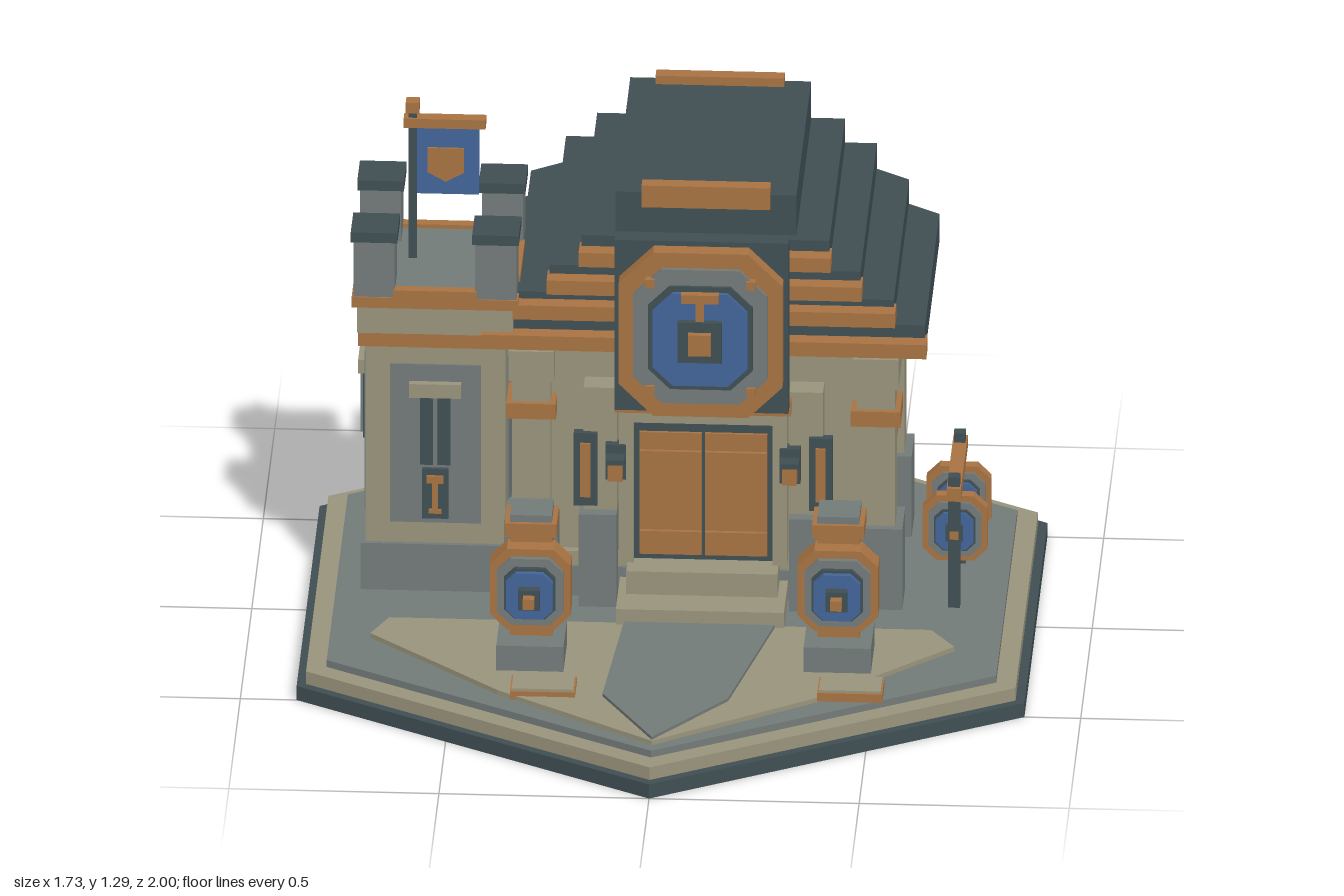
import * as THREE from 'three';

const mat = (name, color) => Object.assign(new THREE.MeshStandardMaterial({ color, flatShading: true }), { name });

export function createModel() {
  const root = new THREE.Group();
  root.name = 'guildHall';
  const stone = mat('greyStone', 0x737b79), tan = mat('sandstone', 0x99947c);
  const slate = mat('darkSlate', 0x3f4e53), gold = mat('bronze', 0xa87343), blue = mat('blueCloth', 0x43659a);

  const add = (name, geo, m, parent = root) => {
    const mesh = new THREE.Mesh(geo, m);
    mesh.name = name;
    parent.add(mesh);
    return mesh;
  };
  // Box given by its low and high limits on each axis
  const box = (name, m, x0, x1, y0, y1, z0, z1, parent = root) => {
    const b = add(name, new THREE.BoxGeometry(x1 - x0, y1 - y0, z1 - z0), m, parent);
    b.position.set((x0 + x1) / 2, (y0 + y1) / 2, (z0 + z1) / 2);
    return b;
  };
  // Upright slab from a plan outline of [x, z] points
  const slab = (name, m, pts, y0, y1, parent = root) => {
    const shape = new THREE.Shape(pts.map(([x, z]) => new THREE.Vector2(x, -z)));
    const geo = new THREE.ExtrudeGeometry(shape, { depth: y1 - y0, bevelEnabled: false });
    return add(name, geo.rotateX(-Math.PI / 2).translate(0, y0, 0), m, parent);
  };
  // Octagonal plate facing +z
  const plate = (name, m, hx, hy, z0, z1, parent) => {
    const c = hx * 0.42;
    const pts = [[hx, hy - c], [hx - c, hy], [c - hx, hy], [-hx, hy - c], [-hx, c - hy], [c - hx, -hy], [hx - c, -hy], [hx, c - hy]];
    const shape = new THREE.Shape(pts.map(p => new THREE.Vector2(...p)));
    const geo = new THREE.ExtrudeGeometry(shape, { depth: z1 - z0, bevelEnabled: false });
    return add(name, geo.translate(0, 0, z0), m, parent);
  };
  // Layered shield, s = half width, t = total depth
  const shield = (name, x, y, z, s, t) => {
    const g = new THREE.Group();
    g.name = name;
    g.position.set(x, y, z);
    root.add(g);
    plate('rim', gold, s, s * 1.1, 0, t * 0.4, g);
    plate('field', stone, s * 0.82, s * 0.9, 0, t * 0.5, g);
    plate('fieldBorder', slate, s * 0.64, s * 0.69, 0, t * 0.58, g);
    plate('blueCentre', blue, s * 0.58, s * 0.62, 0, t * 0.68, g);
    box('bossBack', slate, -s * 0.27, s * 0.27, -s * 0.27, s * 0.27, 0, t * 0.84, g);
    box('boss', gold, -s * 0.14, s * 0.14, -s * 0.14, s * 0.14, 0, t, g);
    return g;
  };

  // Hexagonal stepped base
  const hex = r => Array.from({ length: 6 }, (_, i) => [r * Math.sin(i * Math.PI / 3), r * Math.cos(i * Math.PI / 3)]);
  slab('baseBottom', slate, hex(1), 0, 0.037);
  slab('baseMiddle', tan, hex(0.975), 0.037, 0.07);
  slab('baseTop', stone, hex(0.92), 0.07, 0.088);
  slab('forecourt', tan, [[-0.66, 0.24], [-0.7, 0.33], [-0.38, 0.63], [0, 0.89], [0.38, 0.63], [0.69, 0.33], [0.63, 0.24]], 0.08, 0.1);
  slab('path', stone, [[-0.1, 0.24], [-0.13, 0.65], [0, 0.885], [0.17, 0.66], [0.26, 0.24]], 0.08, 0.108);

  // Hall with angled back corners
  const C = 0.08;
  const hall = g => [[C - 0.41 - g, 0.04 + g], [C + 0.41 + g, 0.04 + g], [C + 0.41 + g, -0.36 - g * 0.4],
    [C + 0.14 + g * 0.4, -0.66 - g], [C - 0.14 - g * 0.4, -0.66 - g], [C - 0.41 - g, -0.36 - g * 0.4]];
  slab('hallWalls', tan, hall(0), 0.088, 0.75);
  slab('hallPlinth', stone, hall(0.03), 0.088, 0.165);
  slab('plinthCap', tan, hall(0.02), 0.165, 0.2);
  for (const s of [-1, 1]) {
    const panel = add('angledWallPanel', new THREE.BoxGeometry(0.34, 0.46, 0.02), stone);
    panel.position.set(C + s * 0.275, 0.43, -0.51);
    panel.rotation.y = Math.atan2(s * 0.743, -0.669);
    for (const [x, z] of [[0.41, 0.045], [0.41, -0.36], [0.14, -0.655]]) {
      const px = C + s * x;
      const col = (n, m, h, y0, y1) => box(n, m, px - h, px + h, y0, y1, z - h, z + h);
      col('columnBase', stone, 0.064, 0.088, 0.3);
      col('column', tan, 0.046, 0.3, 0.68);
      col('columnBand', gold, 0.059, 0.565, 0.605);
      col('columnHead', tan, 0.054, 0.66, 0.74);
    }
  }

  // Barred windows on the side and back
  const window = (x, z, turn) => {
    const g = new THREE.Group();
    g.name = 'barredWindow';
    g.position.set(x, 0, z);
    g.rotation.y = turn;
    root.add(g);
    box('windowFrame', stone, -0.06, 0.06, 0.37, 0.55, 0, 0.02, g);
    box('windowPane', slate, -0.045, 0.045, 0.39, 0.54, 0, 0.026, g);
    for (const b of [-0.026, 0, 0.026]) box('windowBar', gold, b - 0.004, b + 0.004, 0.39, 0.54, 0, 0.034, g);
    box('windowLintel', tan, -0.07, 0.07, 0.545, 0.575, 0, 0.04, g);
  };
  window(C + 0.41, -0.25, Math.PI / 2);
  window(C, -0.66, Math.PI);

  // Stepped roof: half width, low and high edge, front, back
  const tiers = [[0.525, 0.735, 0.81, 0.05, -0.73, 0.16], [0.45, 0.81, 0.87, 0.04, -0.705, 0.075],
    [0.37, 0.87, 0.935, 0.025, -0.69, 0], [0.295, 0.935, 1.005, 0.005, -0.675, 0], [0.215, 1.005, 1.11, -0.02, -0.655, 0]];
  tiers.forEach(([w, y0, y1, zf, zb, c], i) => {
    const pts = [[C - w, zf], [C + w, zf], [C + w, zb + c]];
    if (c) pts.push([C + w - c * 1.45, zb], [C - w + c * 1.45, zb]);
    pts.push([C - w, zb + c]);
    slab('roofTier', slate, pts, y0, y1);
    if (i < 4) box('roofTrim', gold, C - w - 0.005, C + w + 0.005, y0 + 0.005, y0 + 0.042, zf - 0.02, zf + 0.04);
  });
  box('ridgeBeamFront', gold, C - 0.153, C + 0.153, 1.075, 1.132, -0.045, -0.01);
  box('ridgeBeamBack', gold, C - 0.153, C + 0.153, 1.075, 1.132, -0.655, -0.62);

  // Great emblem over the door
  box('emblemMount', stone, C - 0.12, C + 0.12, 0.66, 1.0, 0, 0.13);
  box('emblemBoard', slate, C - 0.207, C + 0.207, 0.63, 1.077, 0.13, 0.178);
  const crest = shield('greatEmblem', C, 0.85, 0.178, 0.195, 0.1);
  box('hammerHead', gold, -0.045, 0.045, 0.1, 0.122, 0, 0.078, crest);
  box('hammerShaft', gold, -0.01, 0.01, 0.05, 0.1, 0, 0.078, crest);
  for (const sx of [-0.12, 0.12]) for (const sy of [-0.14, 0.14])
    box('rivet', gold, sx - 0.011, sx + 0.011, sy - 0.011, sy + 0.011, 0, 0.058, crest);

  // Doorway, steps and porch
  box('lowerStep', tan, C - 0.2, C + 0.2, 0.088, 0.14, 0.04, 0.25);
  box('upperStep', tan, C - 0.18, C + 0.18, 0.14, 0.2, 0.04, 0.165);
  box('doorFrame', slate, C - 0.17, C + 0.17, 0.2, 0.575, 0.04, 0.09);
  box('doorLintel', tan, C - 0.2, C + 0.2, 0.57, 0.605, 0.04, 0.12);
  box('doorBeam', gold, C - 0.21, C + 0.21, 0.6, 0.64, 0.04, 0.13);
  for (const s of [-1, 1]) {
    const side = (n, m, a, b, ...r) => box(n, m, C + Math.min(s * a, s * b), C + Math.max(s * a, s * b), ...r);
    side('doorLeaf', gold, 0.004, 0.152, 0.215, 0.535, 0.06, 0.098);
    for (const y of [0.25, 0.46]) side('doorStrap', gold, 0.004, 0.152, y, y + 0.03, 0.06, 0.108);
    side('doorJamb', tan, 0.165, 0.2, 0.2, 0.575, 0.04, 0.115);
    side('porchPierBase', stone, 0.205, 0.295, 0.088, 0.33, 0.04, 0.13);
    side('porchPier', tan, 0.205, 0.285, 0.33, 0.65, 0.04, 0.1);
    side('lanternBack', slate, 0.183, 0.232, 0.42, 0.51, 0.09, 0.122);
    side('lantern', gold, 0.19, 0.225, 0.43, 0.475, 0.12, 0.155);
    side('lanternCap', slate, 0.185, 0.23, 0.475, 0.488, 0.12, 0.16);
    side('wallPlaque', slate, 0.252, 0.308, 0.345, 0.535, 0.09, 0.112);
    side('plaqueInlay', gold, 0.268, 0.292, 0.37, 0.51, 0.1, 0.119);
  }

  // Square tower
  const TX = -0.56, TZ = -0.115;
  const sq = (n, m, h, y0, y1) => box(n, m, TX - h, TX + h, y0, y1, TZ - h, TZ + h);
  sq('towerPlinth', stone, 0.178, 0.088, 0.21);
  sq('towerShaft', tan, 0.167, 0.21, 0.735);
  sq('towerLowerBand', gold, 0.184, 0.73, 0.766);
  sq('towerCornice', tan, 0.186, 0.766, 0.84);
  sq('towerUpperBand', gold, 0.198, 0.838, 0.865);
  sq('towerDeck', stone, 0.188, 0.865, 0.875);
  for (let i = 0; i < 4; i++) {
    const face = new THREE.Group();
    face.name = 'towerFace';
    face.position.set(TX, 0, TZ);
    face.rotation.y = i * Math.PI / 2;
    root.add(face);
    box('towerPanel', stone, -0.108, 0.108, 0.265, 0.68, 0.15, 0.172, face);
    box('parapetRail', gold, -0.1, 0.1, 0.865, 0.885, 0.172, 0.198, face);
    if (i === 0 || i === 3) {
      box('slitWindow', slate, -0.036, 0.036, 0.42, 0.6, 0.16, 0.18, face);
      box('slitBar', stone, -0.005, 0.005, 0.42, 0.6, 0.16, 0.187, face);
      box('slitLintel', tan, -0.062, 0.062, 0.6, 0.636, 0.16, 0.19, face);
    }
    if (i === 0) {
      box('towerPlaque', slate, -0.031, 0.031, 0.28, 0.41, 0.16, 0.182, face);
      box('plaqueBarTop', gold, -0.02, 0.02, 0.375, 0.394, 0.17, 0.189, face);
      box('plaqueStem', gold, -0.007, 0.007, 0.3, 0.38, 0.17, 0.189, face);
      box('plaqueBarFoot', gold, -0.015, 0.015, 0.296, 0.306, 0.17, 0.189, face);
    }
    box('merlon', stone, 0.096, 0.194, 0.865, 1.012, 0.096, 0.194, face);
    box('merlonCap', slate, 0.089, 0.2, 1.01, 1.036, 0.089, 0.2, face);
  }

  // Tower flag
  const FZ = -0.13;
  box('flagPole', slate, -0.634, -0.614, 0.87, 1.26, FZ - 0.01, FZ + 0.01);
  box('poleFinial', gold, -0.64, -0.608, 1.258, 1.286, FZ - 0.016, FZ + 0.016);
  box('flagBar', gold, -0.645, -0.45, 1.22, 1.244, FZ - 0.016, FZ + 0.016);
  box('flagCloth', blue, -0.614, -0.466, 1.045, 1.22, FZ - 0.008, FZ + 0.008);
  const badge = new THREE.Shape([[-0.043, 0.042], [-0.043, -0.022], [0, -0.046], [0.043, -0.022], [0.043, 0.042]].map(p => new THREE.Vector2(...p)));
  add('flagBadge', new THREE.ExtrudeGeometry(badge, { depth: 0.026, bevelEnabled: false }), gold).position.set(-0.545, 1.125, FZ - 0.013);

  // Shield posts in the forecourt
  for (const [x, z] of [[-0.31, 0.43], [0.42, 0.4]]) {
    box('postBase', stone, x - 0.08, x + 0.08, 0.088, 0.165, z - 0.075, z + 0.09);
    box('shieldPost', gold, x - 0.05, x + 0.05, 0.165, 0.45, z - 0.04, z + 0.03);
    box('postHead', gold, x - 0.062, x + 0.062, 0.435, 0.47, z - 0.05, z + 0.055);
    box('postCap', stone, x - 0.05, x + 0.05, 0.462, 0.488, z - 0.05, z + 0.045);
    shield('postShield', x, 0.305, z + 0.015, 0.096, 0.14);
    box('groundPlaqueRim', gold, x - 0.04, x + 0.115, 0.09, 0.112, z + 0.14, z + 0.23);
    box('groundPlaque', tan, x - 0.036, x + 0.111, 0.1, 0.118, z + 0.144, z + 0.226);
  }

  // Shield rack beside the hall
  const RX = 0.676;
  for (const z of [0.075, -0.17]) {
    box('rackPost', slate, RX - 0.014, RX + 0.014, 0.088, 0.43, z - 0.014, z + 0.014);
    shield('rackShield', RX, 0.278, z - 0.055 + (z < 0 ? 0.08 : 0), 0.077, 0.07);
  }
  box('rackBar', gold, RX - 0.017, RX + 0.017, 0.372, 0.406, -0.2, 0.1);

  // Barrels at the angled wall
  for (const [x, z] of [[0.45, -0.505], [0.37, -0.595]]) {
    const barrel = add('barrel', new THREE.CylinderGeometry(0.058, 0.058, 0.125, 8), gold);
    barrel.position.set(x, 0.15, z);
    barrel.rotation.y = Math.PI / 8;
  }
  return root;
}
